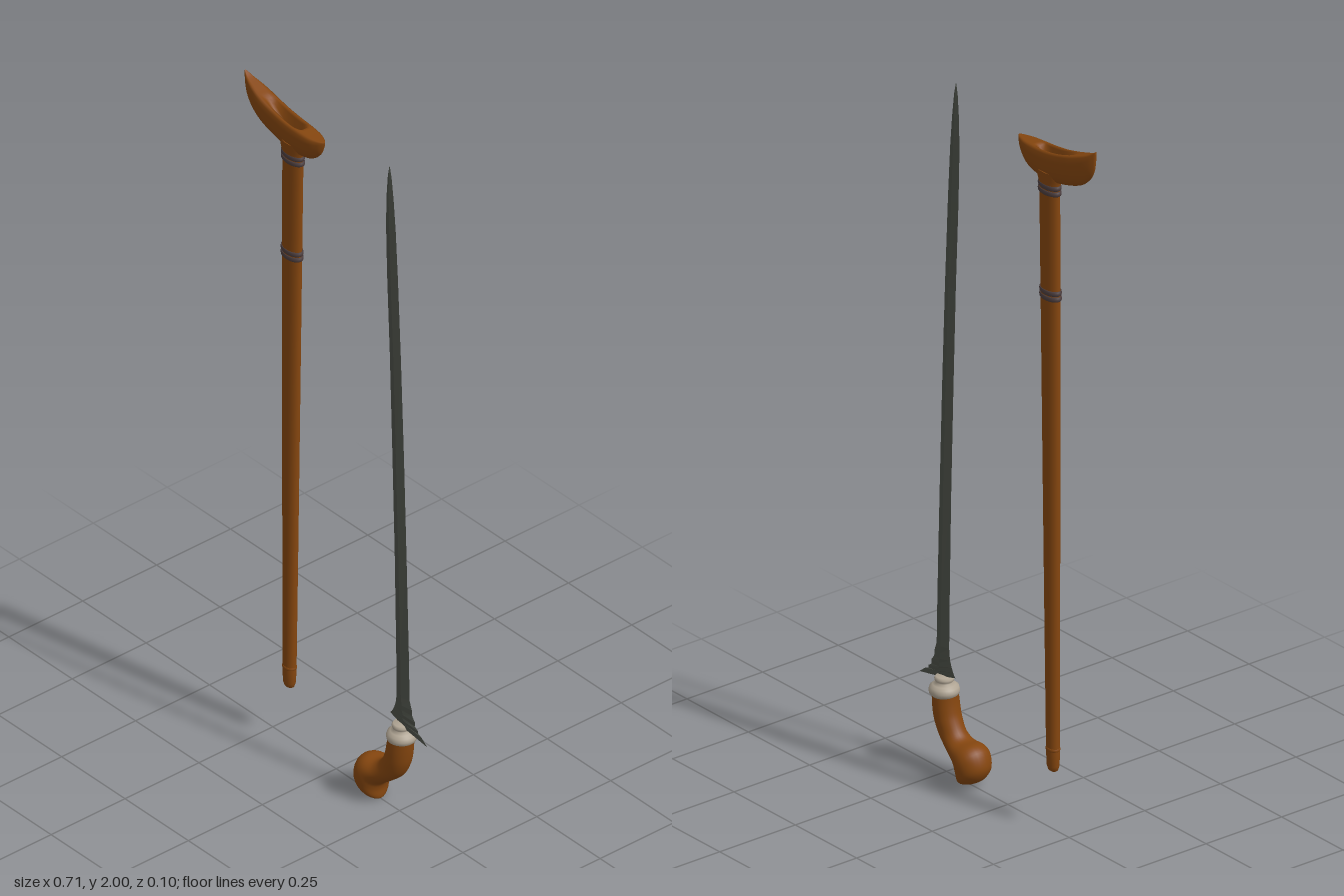
import * as THREE from 'three';

const mat = (name, color) => {
  const m = new THREE.MeshStandardMaterial({ color });
  m.name = name;
  return m;
};

// Resample a table of section values along smooth curves
function smooth(rows, n) {
  const curves = rows[0].map((_, c) => new THREE.SplineCurve(rows.map((r, i) => new THREE.Vector2(i, r[c]))));
  return Array.from({ length: n + 1 }, (_, i) => curves.map(c => c.getPoint(i / n).y));
}

// Skin a list of equal rings of [x, y, z] points, with capped ends
function loft(rings, faceted = false) {
  const n = rings[0].length, pos = rings.flat(2), idx = [];
  for (let r = 0; r < rings.length - 1; r++) {
    for (let i = 0; i < n; i++) {
      const a = r * n + i, b = r * n + (i + 1) % n;
      idx.push(a, b, a + n, b, b + n, a + n);
    }
  }
  [rings[0], rings[rings.length - 1]].forEach((ring, end) => {
    const start = pos.length / 3;
    pos.push(...ring.flat());
    pos.push(...[0, 1, 2].map(k => ring.reduce((s, p) => s + p[k], 0) / n));
    for (let i = 0; i < n; i++) {
      const a = start + i, b = start + (i + 1) % n;
      idx.push(...(end ? [a, b, start + n] : [b, a, start + n]));
    }
  });
  // Turn the faces outward if the enclosed volume is negative
  const v = i => new THREE.Vector3(pos[i * 3], pos[i * 3 + 1], pos[i * 3 + 2]);
  let volume = 0;
  for (let i = 0; i < idx.length; i += 3) volume += v(idx[i]).dot(v(idx[i + 1]).cross(v(idx[i + 2])));
  if (volume < 0) idx.reverse();
  let g = new THREE.BufferGeometry();
  g.setAttribute('position', new THREE.Float32BufferAttribute(pos, 3));
  g.setIndex(idx);
  if (faceted) g = g.toNonIndexed();
  g.computeVertexNormals();
  return g;
}

// Elliptical ring spanning two outline points, with half depth d
const ring = ([ax, ay, bx, by, d], n, z0) => Array.from({ length: n }, (_, i) => {
  const t = i / n * Math.PI * 2, c = Math.cos(t) / 2;
  return [(ax + bx) / 2 + (bx - ax) * c, (ay + by) / 2 + (by - ay) * c, z0 + d * Math.sin(t)];
});

export function createModel() {
  const root = new THREE.Group();
  root.name = 'daggerAndSheath';
  const wood = mat('brown wood', 0x85460f);
  const steel = mat('dark steel', 0x4b4f47);
  const band = mat('dark binding', 0x4d3f40);
  const silver = mat('pale silver', 0xb0a594);
  const add = (parent, name, geo, m) => {
    const mesh = new THREE.Mesh(geo, m);
    mesh.name = name;
    parent.add(mesh);
    return mesh;
  };

  // Sheath
  const sheath = new THREE.Group();
  sheath.name = 'sheath';
  root.add(sheath);
  const SZ = 0.003;
  const level = (y, l, r, d) => ring([l, y, r, y, d], 28, SZ);
  add(sheath, 'sheathStem', loft([
    level(0.168, -0.19, -0.172, 0.006), level(0.172, -0.196, -0.166, 0.011),
    level(0.185, -0.2, -0.162, 0.015), level(0.22, -0.201, -0.16, 0.016),
    level(0.6, -0.202, -0.153, 0.017), level(1.0, -0.203, -0.146, 0.018),
    level(1.53, -0.204, -0.137, 0.019), level(1.8, -0.203, -0.132, 0.019),
    level(1.84, -0.203, -0.131, 0.02), level(1.856, -0.208, -0.126, 0.022),
    level(1.88, -0.214, -0.12, 0.024),
  ]), wood);

  // Bindings around the stem
  const binding = (name, y, l, r, d, tube, m) => {
    const g = new THREE.TorusGeometry(1, 0.1, 8, 32);
    g.rotateX(Math.PI / 2).scale((r - l) / 2, tube * 10, d);
    add(sheath, name, g, m).position.set((l + r) / 2, y, SZ);
  };
  [[1.822, -0.204, -0.13], [1.838, -0.204, -0.13], [1.522, -0.205, -0.136], [1.538, -0.205, -0.136]]
    .forEach(([y, l, r]) => binding('sheathBinding', y, l, r, 0.02, 0.007, band));
  binding('sheathFootBinding', 0.232, -0.2, -0.161, 0.016, 0.005, wood);

  // Boat-shaped mouth with a hollow in its top: x, top, bottom, half depth
  const boat = smooth([
    [-0.355, 2.0, 1.985, 0.002], [-0.35, 1.996, 1.945, 0.006], [-0.335, 1.987, 1.916, 0.013],
    [-0.307, 1.976, 1.89, 0.021], [-0.27, 1.963, 1.872, 0.026], [-0.22, 1.95, 1.858, 0.027],
    [-0.17, 1.942, 1.848, 0.028], [-0.12, 1.938, 1.853, 0.027], [-0.085, 1.936, 1.865, 0.023],
    [-0.06, 1.935, 1.887, 0.014], [-0.048, 1.935, 1.91, 0.007], [-0.042, 1.935, 1.927, 0.001],
  ], 66);
  const step = THREE.MathUtils.smoothstep;
  add(sheath, 'sheathMouth', loft(boat.map(([x, top, bottom, d]) => {
    const hollow = 0.055 * step(x, -0.28, -0.175) * (1 - step(x, -0.155, -0.12));
    const pts = [];
    for (let i = 0; i <= 16; i++) {
      const t = i / 16 * Math.PI;
      pts.push([x, top - (top - bottom) * (0.06 + 0.94 * Math.sin(t)), SZ + d * Math.cos(t)]);
    }
    [[-0.75, 0], [-0.5, 0.1], [-0.3, 0.8], [0, 1], [0.3, 0.8], [0.5, 0.1], [0.75, 0]]
      .forEach(([w, h]) => pts.push([x, top - hollow * h, SZ + d * w]));
    return pts;
  })), wood);

  // Dagger
  const dagger = new THREE.Group();
  dagger.name = 'dagger';
  root.add(dagger);
  const DZ = -0.005;

  // Blade with a flared, toothed base: left x, left y, right x, right y, half thickness
  add(dagger, 'blade', loft([
    [0.208, 0.287, 0.354, 0.253, 0.006], [0.211, 0.291, 0.335, 0.268, 0.007],
    [0.215, 0.296, 0.33, 0.272, 0.007], [0.217, 0.3, 0.318, 0.276, 0.008],
    [0.22, 0.306, 0.318, 0.284, 0.008], [0.223, 0.312, 0.304, 0.293, 0.008],
    [0.226, 0.32, 0.306, 0.304, 0.008], [0.229, 0.329, 0.294, 0.32, 0.008],
    [0.231, 0.342, 0.293, 0.336, 0.008], [0.233, 0.362, 0.284, 0.362, 0.008],
    [0.231, 0.5, 0.281, 0.5, 0.008], [0.225, 0.8, 0.272, 0.8, 0.008],
    [0.216, 1.1, 0.262, 1.1, 0.008], [0.206, 1.4, 0.25, 1.4, 0.007],
    [0.195, 1.65, 0.238, 1.65, 0.007], [0.191, 1.8, 0.229, 1.8, 0.006],
    [0.193, 1.89, 0.221, 1.89, 0.005], [0.198, 1.955, 0.213, 1.955, 0.003],
    [0.204, 1.987, 0.206, 1.987, 0.001],
  ].map(s => ring(s, 4, DZ)), true), steel);

  // Collar between blade and grip
  const collar = [[0, 0.224], [0.033, 0.225], [0.039, 0.231], [0.041, 0.24], [0.038, 0.25], [0.03, 0.256],
    [0.021, 0.261], [0.025, 0.267], [0.026, 0.273], [0.022, 0.279], [0, 0.281]];
  add(dagger, 'collar', new THREE.LatheGeometry(collar.map(p => new THREE.Vector2(...p)), 36), silver)
    .position.set(0.253, 0, DZ);

  // Curved grip ending in a bulging pommel
  add(dagger, 'grip', loft(smooth([
    [0.217, 0.232, 0.289, 0.23, 0.034], [0.213, 0.2, 0.285, 0.193, 0.036],
    [0.205, 0.17, 0.277, 0.155, 0.036], [0.187, 0.138, 0.258, 0.117, 0.035],
    [0.165, 0.124, 0.222, 0.084, 0.04], [0.13, 0.123, 0.187, 0.057, 0.049],
    [0.105, 0.106, 0.178, 0.036, 0.052], [0.093, 0.066, 0.178, 0.014, 0.046],
    [0.108, 0.032, 0.176, 0.005, 0.031], [0.135, 0.013, 0.168, 0.004, 0.014],
  ], 45).map(s => ring(s, 28, -0.002))), wood);

  return root;
}
